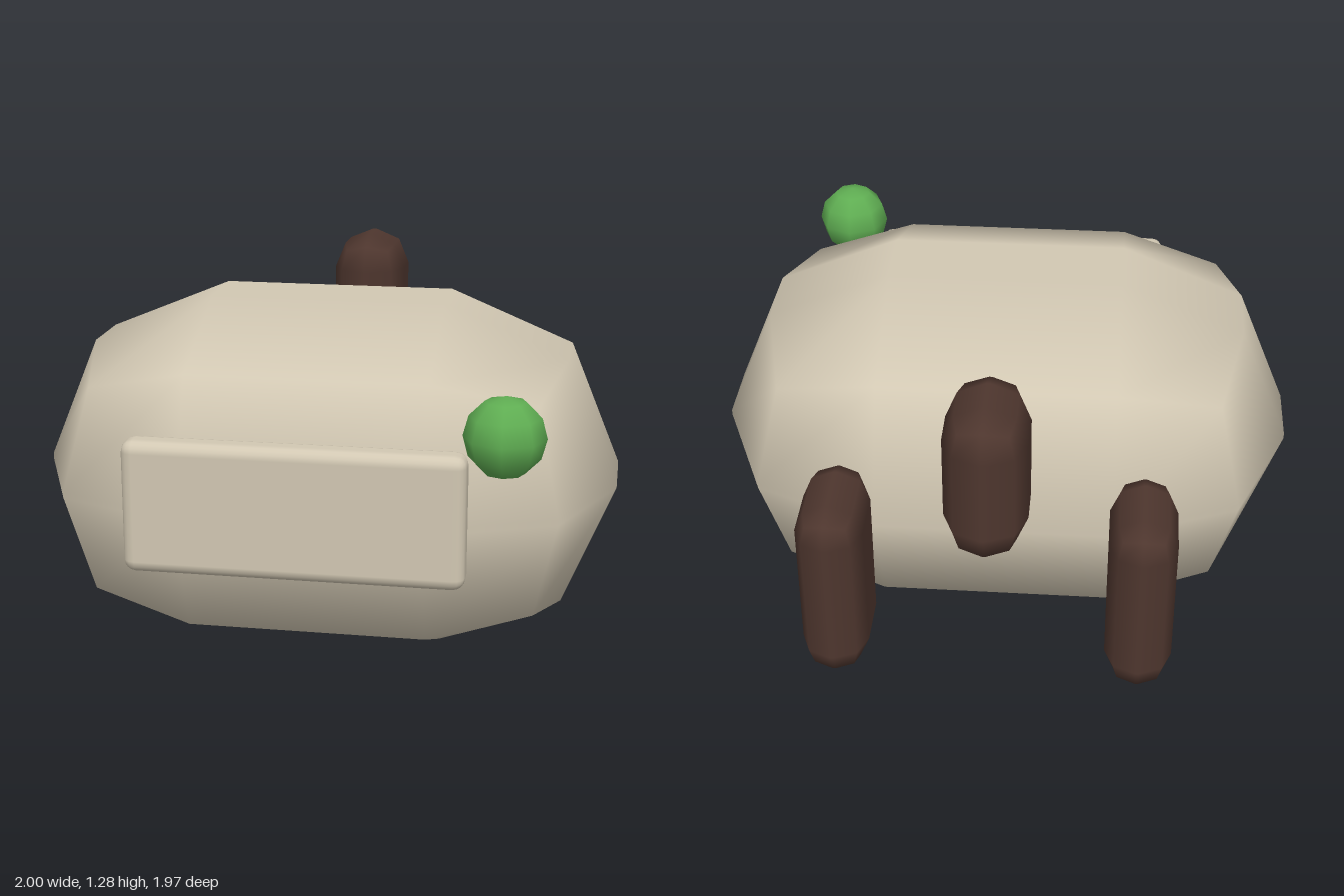
import * as THREE from 'three';
import { RoundedBoxGeometry } from 'three/addons/geometries/RoundedBoxGeometry.js';

function material(name, color) {
  const m = new THREE.MeshStandardMaterial({ color });
  m.name = name;
  return m;
}

export function createModel() {
  const model = new THREE.Group();
  const cream = material('cream', 0xd2c8b3);
  const brown = material('darkBrown', 0x4e362e);
  const green = material('green', 0x5fad52);

  function add(name, geometry, mat, x, y, z) {
    const mesh = new THREE.Mesh(geometry, mat);
    mesh.name = name;
    mesh.position.set(x, y, z);
    model.add(mesh);
    return mesh;
  }
  const rounded = (w, h, d, segments, r) => new RoundedBoxGeometry(w, h, d, segments, r);

  // Coarse, heavily rounded body
  add('body', rounded(2, 1.22, 1.44, 1, 0.6), cream, 0, 0.612, 0.1);

  // Front plate with a small ball at its upper corner
  add('frontPlate', rounded(1.1, 0.44, 0.11, 2, 0.04), cream, 0, 0.67, 0.85);
  add('ball', new THREE.SphereGeometry(0.13, 8, 6), green, 0.66, 0.95, 0.85);

  // Three upright blocks behind the body
  add('middleBackBlock', rounded(0.27, 0.55, 0.385, 1, 0.13), brown, 0, 1.005, -0.793);
  for (const [name, side] of [['leftBackBlock', 1], ['rightBackBlock', -1]]) {
    add(name, rounded(0.22, 0.66, 0.385, 1, 0.105), brown, side * 0.5, 0.56, -0.793);
  }

  return model;
}
